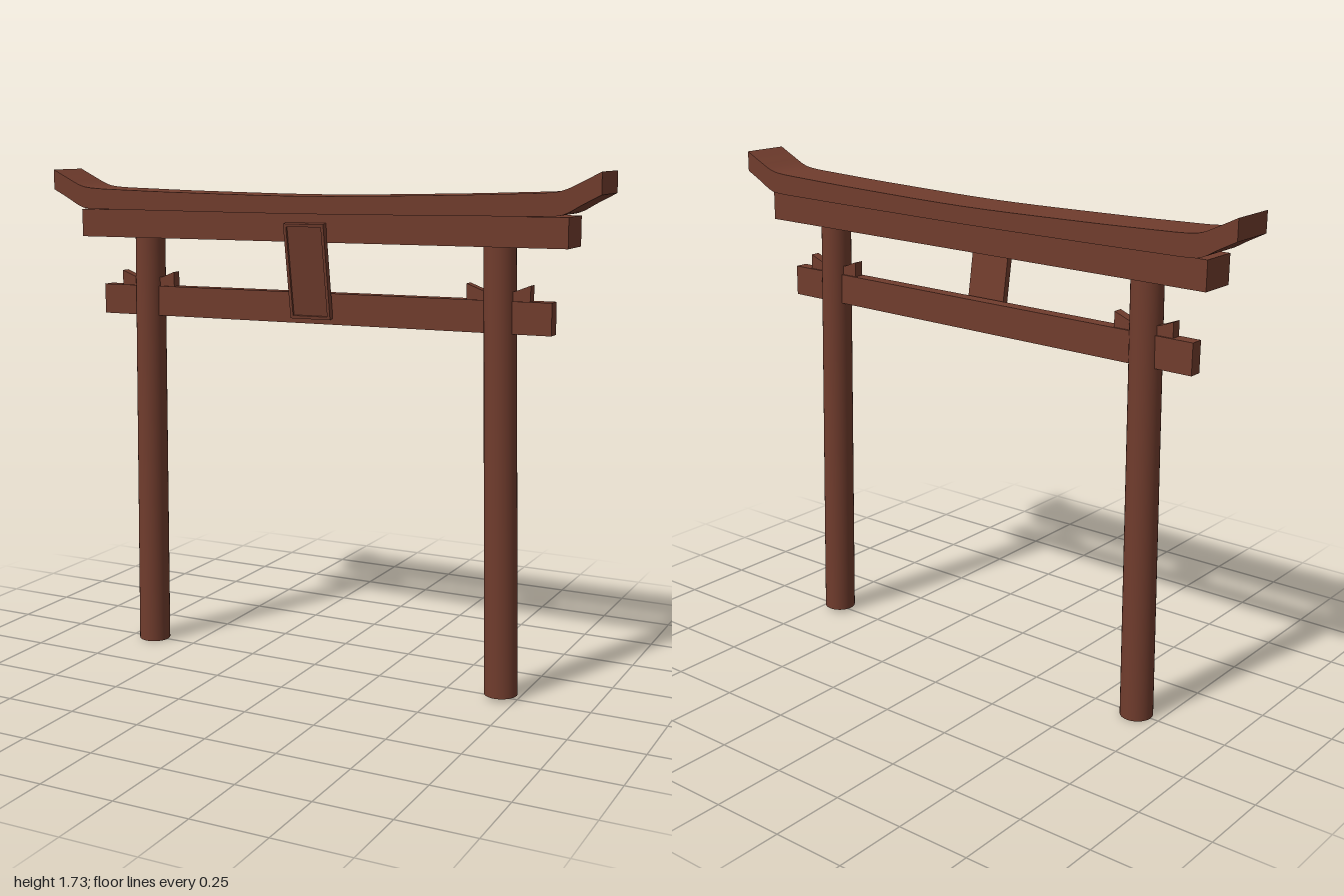
import * as THREE from 'three';
import { toCreasedNormals } from 'three/addons/utils/BufferGeometryUtils.js';

const wood = new THREE.MeshStandardMaterial({ color: 0x703c2d });
wood.name = 'reddish brown wood';

const Z = -0.002; // centre plane of the gate

function add(parent, name, geometry, x = 0, y = 0, z = 0) {
  const mesh = new THREE.Mesh(geometry, wood);
  mesh.name = name;
  mesh.position.set(x, y, z);
  parent.add(mesh);
  return mesh;
}

// Extrude a front outline, centred on its depth
function slab(shape, depth) {
  const g = new THREE.ExtrudeGeometry(shape, { depth, bevelEnabled: false });
  return g.translate(0, 0, -depth / 2);
}

// Smooth symmetric edge from the left tip to the right tip, given its right half
function sweptEdge(half) {
  const right = half.map(([x, y]) => new THREE.Vector2(x, y));
  const left = right.slice(1).reverse().map((p) => new THREE.Vector2(-p.x, p.y));
  return new THREE.SplineCurve([...left, ...right]).getPoints(64);
}

export function createModel() {
  const model = new THREE.Group();
  model.name = 'gate';
  const frame = new THREE.Group();
  frame.name = 'gateFrame';
  // The whole gate leans very slightly to one side
  frame.position.set(0.013, 0.007, 0);
  frame.rotation.z = 0.008;
  model.add(frame);

  // Curved top lintel with upswept ends
  const top = sweptEdge([[0, 1.629], [0.45, 1.636], [0.7, 1.643], [0.83, 1.648], [0.885, 1.657], [0.94, 1.682], [1, 1.712]]);
  const bottom = sweptEdge([[0, 1.571], [0.45, 1.573], [0.7, 1.575], [0.845, 1.577], [0.89, 1.585], [0.94, 1.612], [1, 1.643]]);
  const lintel = new THREE.Shape([...bottom, ...top.reverse()]);
  add(frame, 'topLintel', toCreasedNormals(slab(lintel, 0.168), 0.5), 0, 0, -0.004);

  // Straight beam beneath the lintel and the lower tie beam
  add(frame, 'upperBeam', new THREE.BoxGeometry(1.79, 0.096, 0.13), 0, 1.526, Z);
  add(frame, 'tieBeam', new THREE.BoxGeometry(1.67, 0.104, 0.046), -0.001, 1.255, Z);

  for (const side of [-1, 1]) {
    const label = side > 0 ? 'left' : 'right';

    // Round pillar leaning inwards
    const foot = new THREE.Vector3(side * 0.679, 0, Z);
    const head = new THREE.Vector3(side * 0.652, 1.5, Z);
    const axis = head.clone().sub(foot);
    const pillar = add(frame, label + 'Pillar', new THREE.CylinderGeometry(0.052, 0.0555, axis.length(), 32));
    pillar.position.copy(foot).add(head).multiplyScalar(0.5);
    pillar.quaternion.setFromUnitVectors(new THREE.Vector3(0, 1, 0), axis.normalize());

    // Wedges on either side of the pillar, rising away from it
    for (const dir of [-1, 1]) {
      const wedge = new THREE.Shape([[0, 1.3], [0.107, 1.3], [0.107, 1.358], [0.055, 1.338], [0, 1.338]]
        .map(([x, y]) => new THREE.Vector2(dir * x, y)));
      add(frame, label + 'Wedge', slab(wedge, 0.034), side * 0.655, 0, Z);
    }
  }

  // Forward-tilted plaque: rim around a recessed panel
  const plaque = new THREE.Group();
  plaque.name = 'plaque';
  plaque.position.set(0, 1.381, 0.053);
  plaque.rotation.x = 0.15;
  frame.add(plaque);
  const [w, h, rim] = [0.074, 0.161, 0.01];
  const rect = (a, b) => [[-a, -b], [a, -b], [a, b], [-a, b]].map(([x, y]) => new THREE.Vector2(x, y));
  const border = new THREE.Shape(rect(w, h));
  border.holes.push(new THREE.Path(rect(w - rim, h - rim)));
  add(plaque, 'plaqueRim', slab(border, 0.022));
  add(plaque, 'plaquePanel', new THREE.BoxGeometry(2 * (w - rim), 2 * (h - rim), 0.014), 0, 0, -0.004);

  return model;
}
